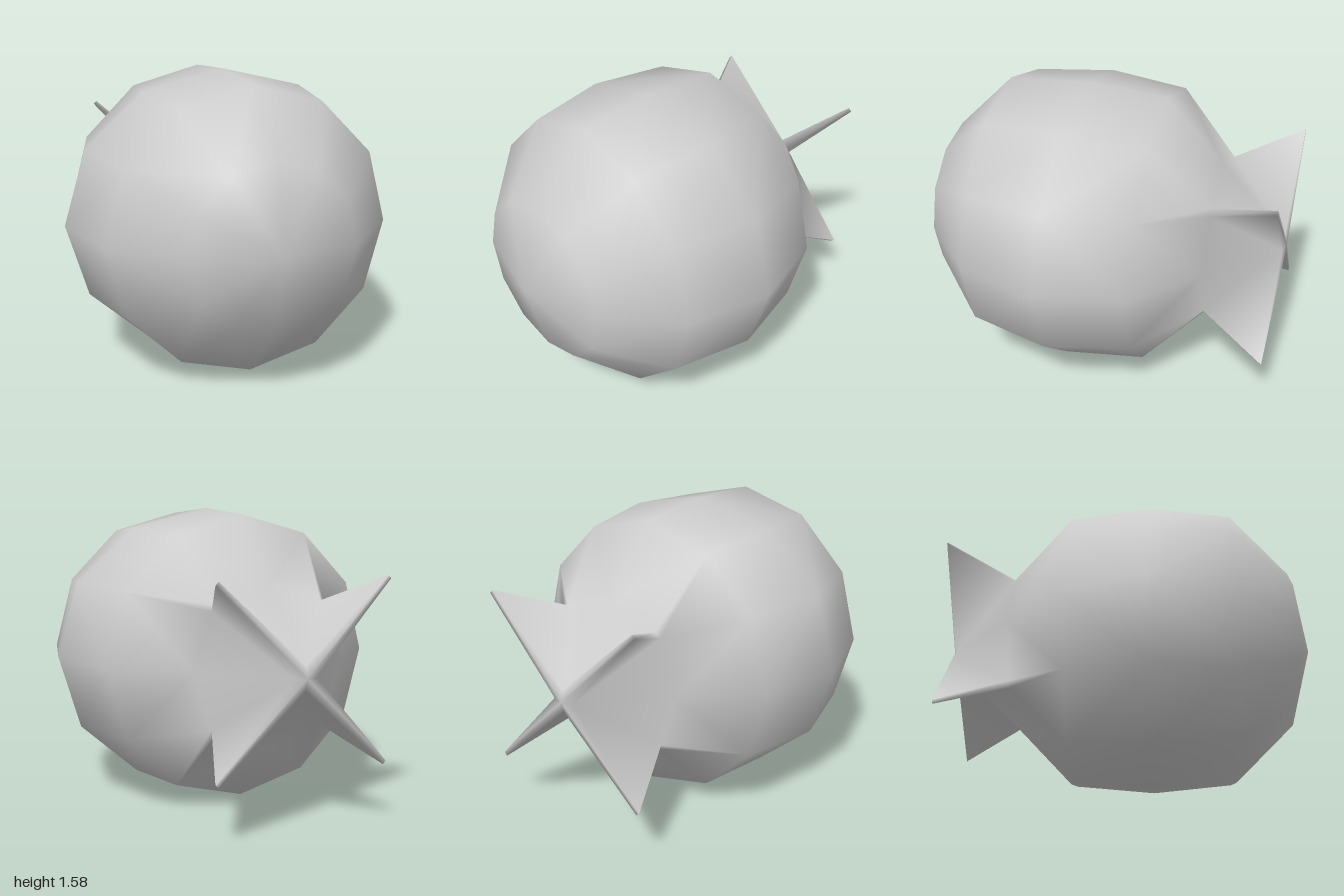
import * as THREE from 'three';

const SIDES = 12, CY = 0.795, CZ = 0.125, R = 0.88;

// Point on a ring around the z axis
const polar = (r, a, z, sy = 1) => [r * Math.cos(a), CY + r * Math.sin(a) * sy, z];

// Plain ring of the round body; sy flattens it vertically
function bodyRing(deg, sy = 1) {
  const t = THREE.MathUtils.degToRad(deg);
  return Array.from({ length: SIDES }, (_, i) =>
    polar(R * Math.sin(t), (i / SIDES) * Math.PI * 2, CZ + R * Math.cos(t), sy));
}

// Ring whose vertices are pinched in pairs into four diagonal fins
function finRing(valleyR, finR, half, z) {
  return Array.from({ length: SIDES }, (_, i) => {
    const quarter = Math.floor(i / 3) * Math.PI / 2;
    if (i % 3 === 0) return polar(valleyR, quarter, z);
    const side = i % 3 === 1 ? -1 : 1;
    return polar(finR, quarter + Math.PI / 4 + side * half / finR, z);
  });
}

export function createModel() {
  const group = new THREE.Group();
  group.name = 'finnedBall';

  const rings = [
    bodyRing(30), bodyRing(60), bodyRing(90, 0.9), bodyRing(120),
    finRing(0.425, 0.44, 0.02, -0.63), // fin roots
    finRing(0.06, 0.66, 0.012, -0.985), // fin tips and tail
  ];
  const points = [[0, CY, CZ + R], ...rings.flat(), [0, CY, -1]];
  const last = points.length - 1;
  const at = (k, i) => 1 + k * SIDES + (i % SIDES);
  const index = [];

  // Nose and tail caps
  for (let i = 0; i < SIDES; i++) {
    index.push(0, at(0, i), at(0, i + 1));
    index.push(last, at(rings.length - 1, i + 1), at(rings.length - 1, i));
  }
  // Skin between rings, with diagonals mirrored on both sides of each fin
  for (let k = 0; k < rings.length - 1; k++) {
    for (let i = 0; i < SIDES; i++) {
      const a = at(k, i), b = at(k, i + 1), c = at(k + 1, i), d = at(k + 1, i + 1);
      if (i % 3 === 0) index.push(a, c, b, b, c, d);
      else index.push(a, c, d, a, d, b);
    }
  }

  const geometry = new THREE.BufferGeometry();
  geometry.setAttribute('position', new THREE.Float32BufferAttribute(points.flat(), 3));
  geometry.setIndex(index);
  geometry.computeVertexNormals();

  const body = new THREE.Mesh(geometry, new THREE.MeshStandardMaterial({ color: 0xcccccc }));
  body.name = 'bodyWithTailFins';
  group.add(body);
  return group;
}
